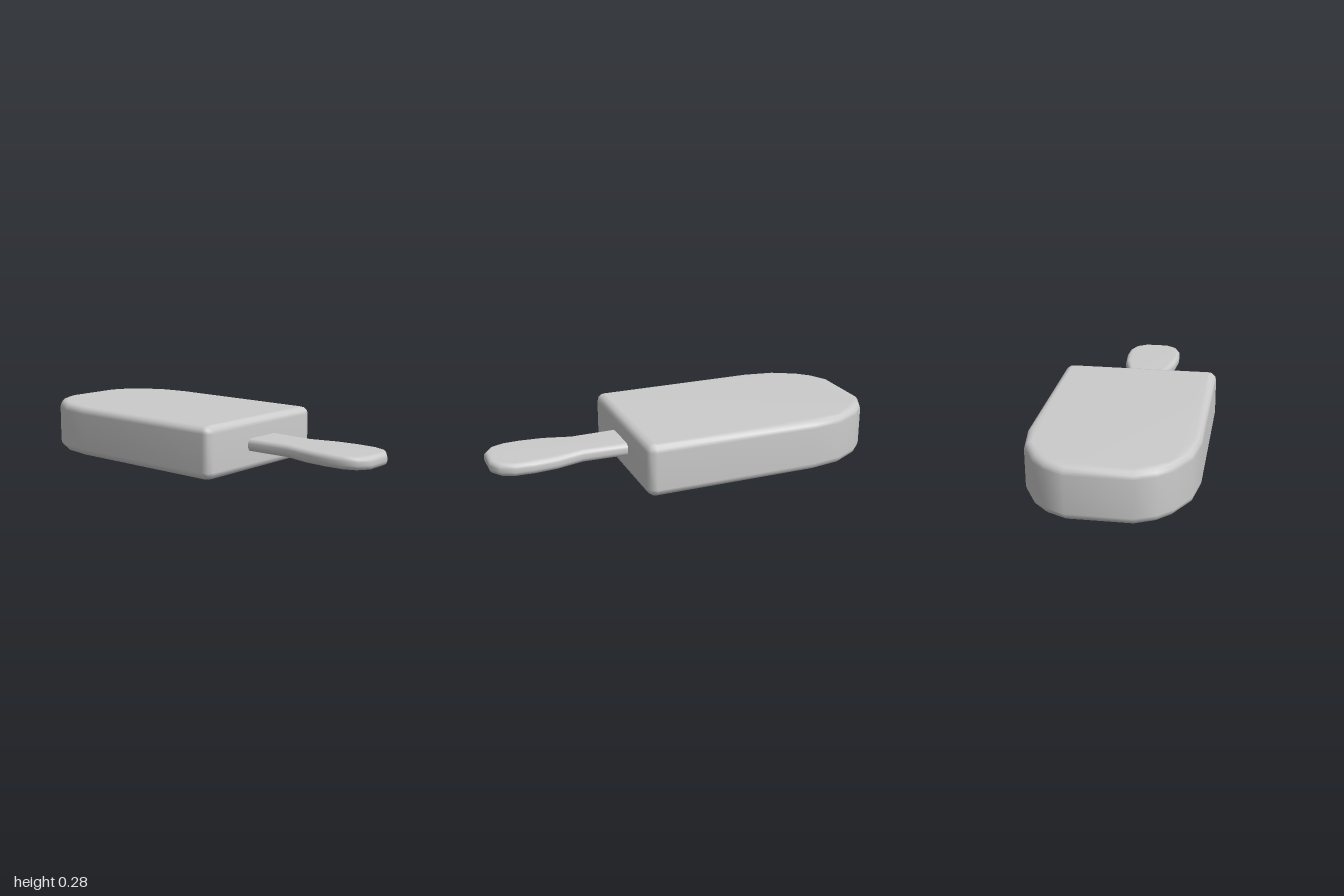
import * as THREE from 'three';
import { mergeVertices } from 'three/addons/utils/BufferGeometryUtils.js';

const material = new THREE.MeshStandardMaterial({ color: 0xcccccc });

// Softly bevelled slab lying flat between two heights.
// half: outline of the +x side as [half width, distance along z], mirrored to -x.
function slab(name, half, yMin, yMax, bevel) {
  const right = half.map(([w, z]) => new THREE.Vector2(w, -z));
  const left = half.map(([w, z]) => new THREE.Vector2(-w, -z)).reverse();
  const extruded = new THREE.ExtrudeGeometry(new THREE.Shape([...right, ...left]), {
    depth: yMax - yMin - 2 * bevel,
    bevelThickness: bevel,
    bevelSize: bevel,
    bevelOffset: -bevel,
    bevelSegments: 3,
  });
  // Share vertices so area-weighted normals keep faces flat and edges soft
  extruded.deleteAttribute('uv');
  extruded.deleteAttribute('normal');
  const geometry = mergeVertices(extruded, 1e-4);
  geometry.rotateX(-Math.PI / 2);
  geometry.translate(0, yMin + bevel, 0);
  geometry.computeVertexNormals();
  const mesh = new THREE.Mesh(geometry, material);
  mesh.name = name;
  return mesh;
}

export function createModel() {
  const lolly = new THREE.Group();
  lolly.name = 'iceLolly';

  // Ice block: square lower end, rounded top end
  lolly.add(slab('iceBlock', [
    [0.402, 0.38], [0.434, 0.367], [0.447, 0.335],
    [0.447, -0.572], [0.419, -0.744], [0.344, -0.88], [0.273, -0.95], [0.167, -1.0],
  ], 0, 0.282, 0.04));

  // Stick: straight neck widening into a paddle-shaped grip
  lolly.add(slab('stick', [
    [0.07, 1.105], [0.134, 1.062], [0.163, 0.99], [0.168, 0.894],
    [0.157, 0.77], [0.118, 0.622], [0.125, 0.38], [0.125, 0.26],
  ], 0.108, 0.177, 0.025));

  // Lie diagonally on the ground
  const angle = Math.atan(0.5);
  lolly.rotation.y = angle;
  lolly.position.set(0.061 * Math.cos(angle), 0, -0.061 * Math.sin(angle));

  const model = new THREE.Group();
  model.name = 'model';
  model.add(lolly);
  return model;
}
